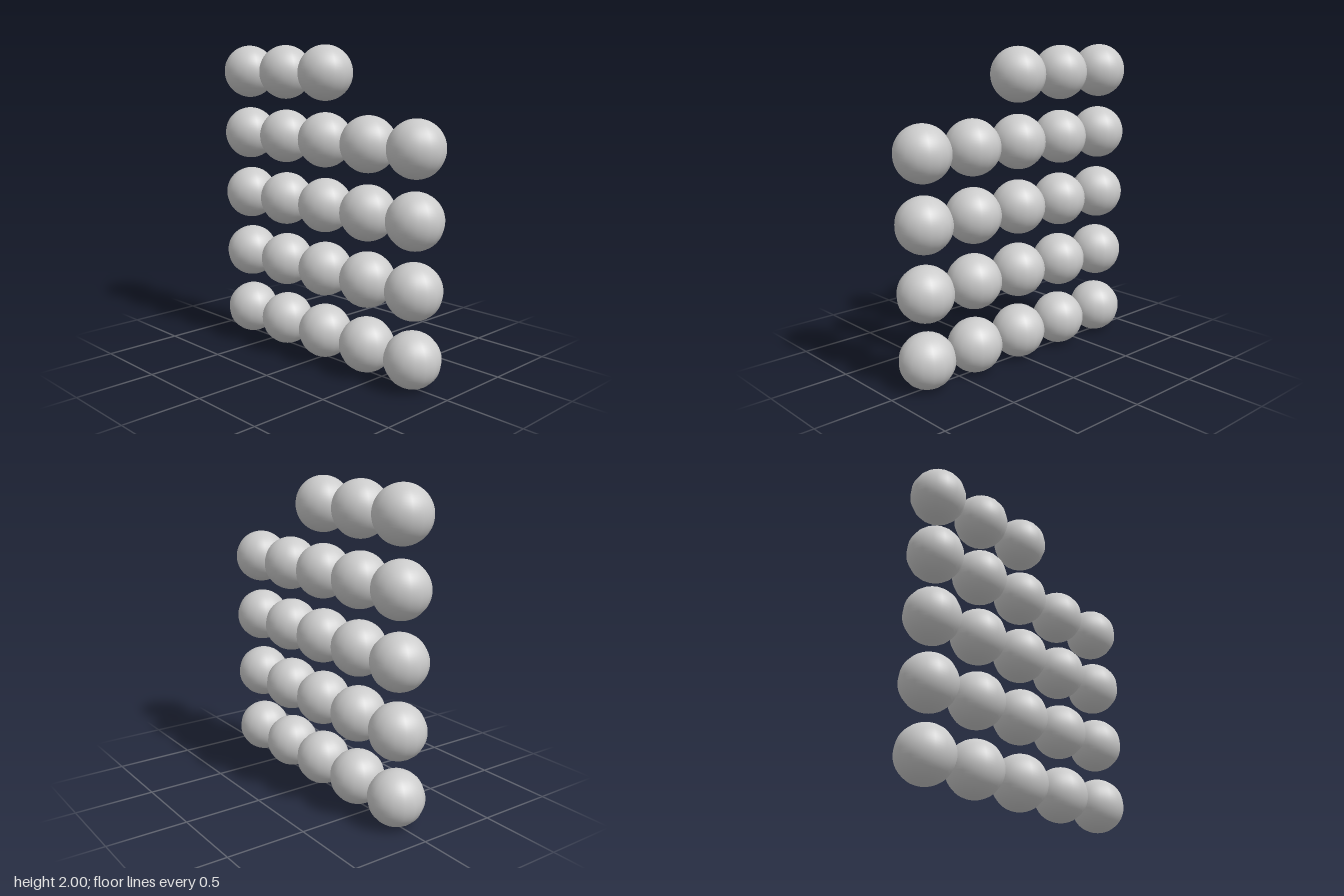
import * as THREE from 'three';

const RADIUS = 0.172;
const ROW_STEP = 0.414;
const COLUMN_STEP = 0.369;
const ROWS = 5;
const COLUMNS = 5;

export function createModel() {
  const model = new THREE.Group();
  model.name = 'ballGrid';
  const material = new THREE.MeshStandardMaterial({ color: 0xcccccc });
  const ball = new THREE.SphereGeometry(RADIUS, 16, 32);

  // Upright grid of balls, one group per row
  for (let row = 0; row < ROWS; row++) {
    const rowGroup = new THREE.Group();
    rowGroup.name = `row${row + 1}`;
    rowGroup.position.y = RADIUS + row * ROW_STEP;
    // The top row lacks its two front balls
    const count = row === ROWS - 1 ? 3 : COLUMNS;
    for (let column = 0; column < count; column++) {
      const mesh = new THREE.Mesh(ball, material);
      mesh.name = `ball${column + 1}`;
      mesh.position.z = (column - (COLUMNS - 1) / 2) * COLUMN_STEP;
      rowGroup.add(mesh);
    }
    model.add(rowGroup);
  }
  return model;
}
